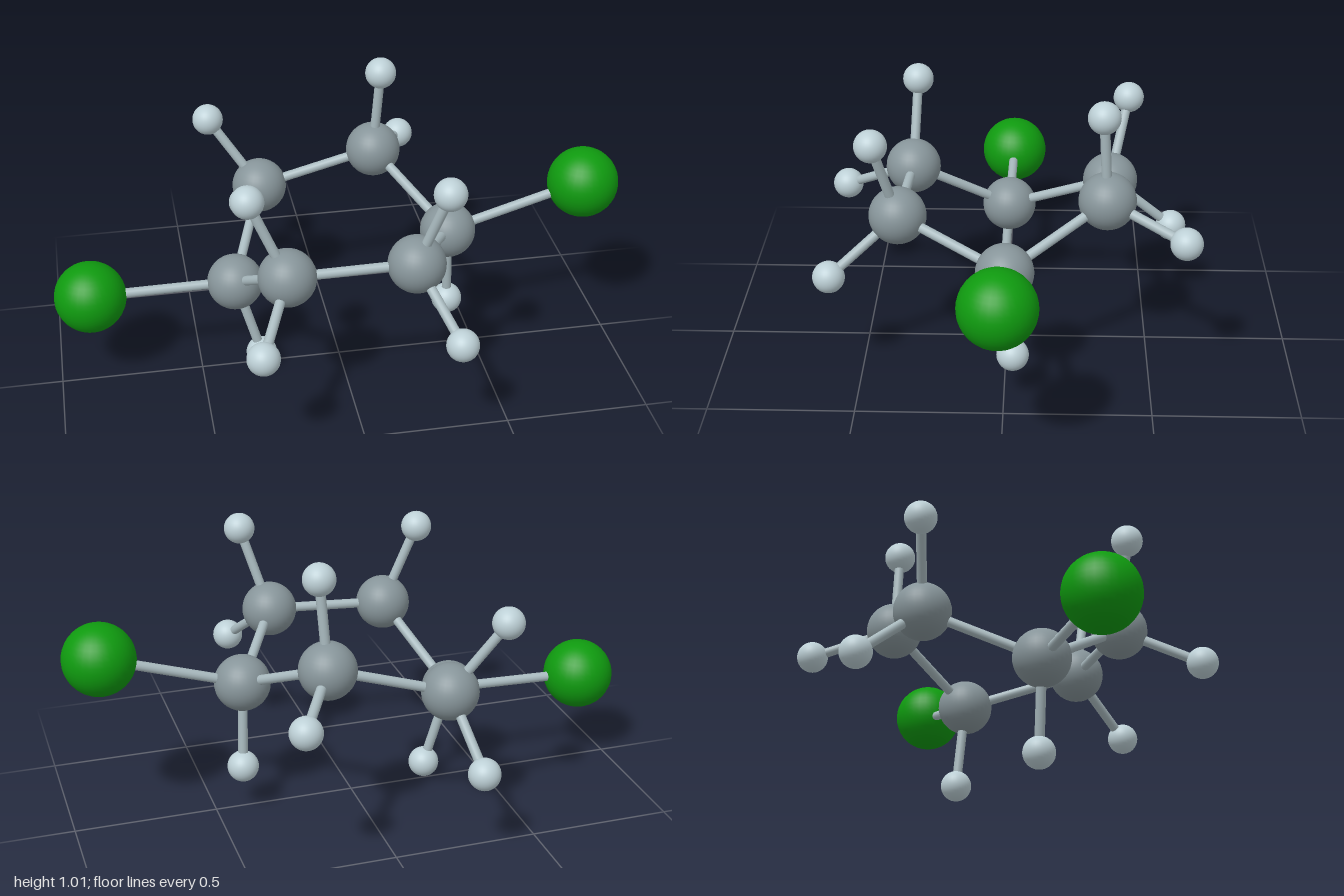
import * as THREE from 'three';

// Atom kinds: radius and colour
const KINDS = {
  carbon: { radius: 0.098, color: 0x87959a },
  hydrogen: { radius: 0.055, color: 0xbdd0d6 },
  chlorine: { radius: 0.125, color: 0x0f9a0f },
};
const BOND_RADIUS = 0.017;

// Ring carbons in order, each with the atoms attached to it
const RING = [
  { at: [-0.37, 0.357, 0], hydrogen: [[-0.286, 0.06, 0.02]], chlorine: [[-0.875, 0.347, -0.008]] },
  { at: [-0.23, 0.528, -0.367], hydrogen: [[-0.402, 0.779, -0.433], [-0.267, 0.327, -0.597]] },
  { at: [0.188, 0.652, -0.342], hydrogen: [[0.209, 0.963, -0.323], [0.337, 0.572, -0.6]] },
  { at: [0.392, 0.487, -0.003], hydrogen: [[0.405, 0.179, -0.03]], chlorine: [[0.875, 0.637, 0.005]] },
  { at: [0.196, 0.593, 0.363], hydrogen: [[0.282, 0.887, 0.435], [0.302, 0.411, 0.592]] },
  { at: [-0.233, 0.575, 0.343], hydrogen: [[-0.355, 0.863, 0.328], [-0.35, 0.444, 0.598]] },
];

export function createModel() {
  const model = new THREE.Group();
  model.name = 'molecule';

  const atomParts = {};
  for (const [kind, { radius, color }] of Object.entries(KINDS)) {
    atomParts[kind] = {
      geometry: new THREE.SphereGeometry(radius, 32, 20),
      material: new THREE.MeshStandardMaterial({ color }),
    };
  }
  const bondMaterial = new THREE.MeshStandardMaterial({ color: 0xa9babf });
  const up = new THREE.Vector3(0, 1, 0);

  // Ball at a point
  function addAtom(kind, point) {
    const { geometry, material } = atomParts[kind];
    const atom = new THREE.Mesh(geometry, material);
    atom.name = kind + 'Atom';
    atom.position.set(...point);
    model.add(atom);
  }

  // Thin rod joining two ball centres
  function addBond(from, to, name) {
    const a = new THREE.Vector3(...from);
    const b = new THREE.Vector3(...to);
    const direction = b.clone().sub(a);
    const length = direction.length();
    const bond = new THREE.Mesh(
      new THREE.CylinderGeometry(BOND_RADIUS, BOND_RADIUS, length, 16, 1, true),
      bondMaterial
    );
    bond.name = name;
    bond.position.copy(a).add(b).multiplyScalar(0.5);
    bond.quaternion.setFromUnitVectors(up, direction.normalize());
    model.add(bond);
  }

  RING.forEach((carbon, i) => {
    addAtom('carbon', carbon.at);
    addBond(carbon.at, RING[(i + 1) % RING.length].at, 'ringBond');
    for (const kind of ['hydrogen', 'chlorine']) {
      for (const point of carbon[kind] ?? []) {
        addAtom(kind, point);
        addBond(carbon.at, point, kind + 'Bond');
      }
    }
  });

  return model;
}
